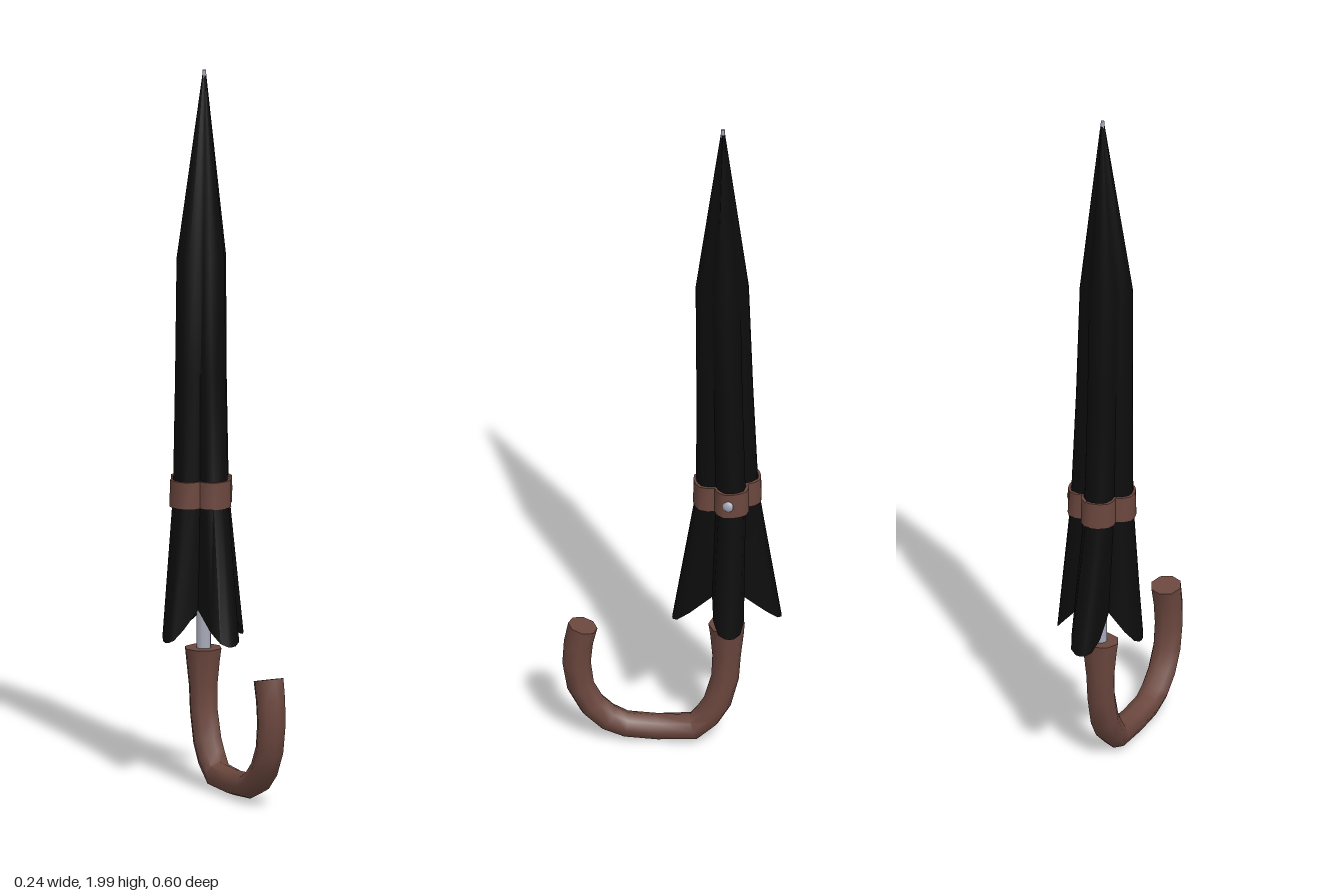
import * as THREE from 'three';
import { toCreasedNormals } from 'three/addons/utils/BufferGeometryUtils.js';

const V = (x, y, z) => new THREE.Vector3(x, y, z);

// Skin a list of closed rings; optionally close both ends or join last ring to first.
function loft(rings, { caps = false, loop = false, crease = 0.9 } = {}) {
  const n = rings[0].length;
  const pos = rings.flat().flatMap(p => [p.x, p.y, p.z]);
  const index = [];
  const spans = loop ? rings.length : rings.length - 1;
  for (let r = 0; r < spans; r++) {
    const next = (r + 1) % rings.length;
    for (let i = 0; i < n; i++) {
      const j = (i + 1) % n;
      const a = r * n + i, b = r * n + j, c = next * n + i, d = next * n + j;
      index.push(a, c, b, b, c, d);
    }
  }
  if (caps) {
    [0, rings.length - 1].forEach((r, end) => {
      const mid = rings[r].reduce((s, p) => s.add(p), V(0, 0, 0)).divideScalar(n);
      const m = pos.push(mid.x, mid.y, mid.z) / 3 - 1;
      for (let i = 0; i < n; i++) {
        const a = r * n + i, b = r * n + (i + 1) % n;
        index.push(m, end ? b : a, end ? a : b);
      }
    });
  }
  const g = new THREE.BufferGeometry();
  g.setAttribute('position', new THREE.Float32BufferAttribute(pos, 3));
  g.setIndex(index);
  return toCreasedNormals(g, crease);
}

// Four-lobed section of the folded cloth: lobe length, lobe half width, valley radius.
function lobedRing({ x, z, len, w, valley, twist }, yOf) {
  const v = valley * Math.SQRT1_2;
  const half = [[Math.max(len * 0.7, v), -w], [len * 0.92, -w * 0.72], [len * 0.99, -w * 0.3]];
  const lobe = [[v, -v], ...half, [len, 0], ...half.map(([a, b]) => [a, -b]).reverse()];
  const ring = [];
  for (let k = 0; k < 4; k++) {
    const t = k * Math.PI / 2 - twist, c = Math.cos(t), s = Math.sin(t);
    for (const [a, b] of lobe) ring.push(V(x + a * c - b * s, yOf(a), z + a * s + b * c));
  }
  return ring;
}

export function createModel() {
  const group = new THREE.Group();
  const material = (name, color, side = THREE.FrontSide) => {
    const m = new THREE.MeshStandardMaterial({ color, side });
    m.name = name;
    return m;
  };
  const cloth = material('black cloth', 0x0c0c0c, THREE.DoubleSide);
  const brown = material('brown leather', 0x6b473e);
  const metal = material('grey metal', 0xa8acba);
  const add = (name, geometry, mat, x = 0, y = 0, z = 0) => {
    const mesh = new THREE.Mesh(geometry, mat);
    mesh.name = name;
    mesh.position.set(x, y, z);
    group.add(mesh);
    return mesh;
  };

  // Folded canopy: scalloped hem, gathered waist, long pointed top
  const hem = { x: -0.002, z: -0.151, len: 0.15, w: 0.042, valley: 0.06, twist: 0.05 };
  // The side lobes are shorter than the front and back ones at the hem
  const narrow = (ring, cx, k) => ring.map(p => {
    const out = Math.max(0, Math.abs(p.x - cx) - 0.05);
    p.x = cx + Math.sign(p.x - cx) * (Math.abs(p.x - cx) - out * k);
    return p;
  });
  const waist = { x: -0.008, z: -0.152, len: 0.086, w: 0.038, valley: 0.059, twist: 0.24 };
  const sections = [
    [0.82, waist],
    [1.15, { x: -0.012, z: -0.145, len: 0.078, w: 0.037, valley: 0.056, twist: 0.24 }],
    [1.48, { x: -0.0145, z: -0.138, len: 0.073, w: 0.036, valley: 0.06, twist: 0.2 }],
    [1.985, { x: -0.004, z: -0.14, len: 0.006, w: 0.003, valley: 0.005, twist: 0.2 }],
  ];
  add('canopy', loft([
    narrow(lobedRing(hem, a => 0.5 - 0.09 * Math.max(0, a - 0.045) / 0.105), hem.x, 0.28),
    ...sections.map(([y, s]) => lobedRing(s, () => y)),
  ]), cloth);

  // Strap wrapped around the gathered cloth
  const band = (grow, y) => lobedRing(
    { ...waist, len: waist.len + grow, w: waist.w + grow, valley: waist.valley + grow }, () => y);
  add('strap', loft([band(0, 0.785), band(0.008, 0.785), band(0.007, 0.86), band(0, 0.86)],
    { loop: true }), brown);

  // Domed snap button on the strap
  const button = add('button', new THREE.SphereGeometry(0.018, 12, 8), metal, 0.08, 0.822, -0.153);
  button.scale.z = 0.6;
  button.rotation.y = Math.atan2(0.85, 0.5);

  // Shaft and end tip
  add('shaft', new THREE.CylinderGeometry(0.02, 0.02, 0.75, 10), metal, 0, 0.735, -0.15);
  add('tip', new THREE.CylinderGeometry(0.005, 0.007, 0.04, 8), metal, -0.004, 1.98, -0.14);

  // Hooked handle: y, z, radius along the centre line
  const path = [
    [0.385, -0.15, 0.05], [0.35, -0.151, 0.046], [0.28, -0.15, 0.039], [0.21, -0.146, 0.038],
    [0.13, -0.125, 0.039], [0.085, -0.098, 0.039], [0.047, -0.06, 0.038], [0.042, 0.04, 0.036],
    [0.048, 0.125, 0.036], [0.07, 0.175, 0.038], [0.11, 0.218, 0.038], [0.17, 0.25, 0.038],
    [0.245, 0.261, 0.039], [0.31, 0.256, 0.04], [0.365, 0.244, 0.041],
  ].map(([y, z, r]) => ({ p: V(-0.002 - 0.04 * Math.max(0, z + 0.15), y, z), r }));
  const rings = path.map(({ p, r }, i) => {
    const dir = path[Math.min(i + 1, path.length - 1)].p.clone()
      .sub(path[Math.max(i - 1, 0)].p).setX(0).normalize();
    const side = V(1, 0, 0), across = side.clone().cross(dir);
    return Array.from({ length: 8 }, (_, k) => {
      const t = k * Math.PI / 4;
      return p.clone().addScaledVector(side, r * 1.06 * Math.cos(t))
        .addScaledVector(across, r * Math.sin(t));
    });
  });
  add('handle', loft(rings, { caps: true }), brown);

  return group;
}
